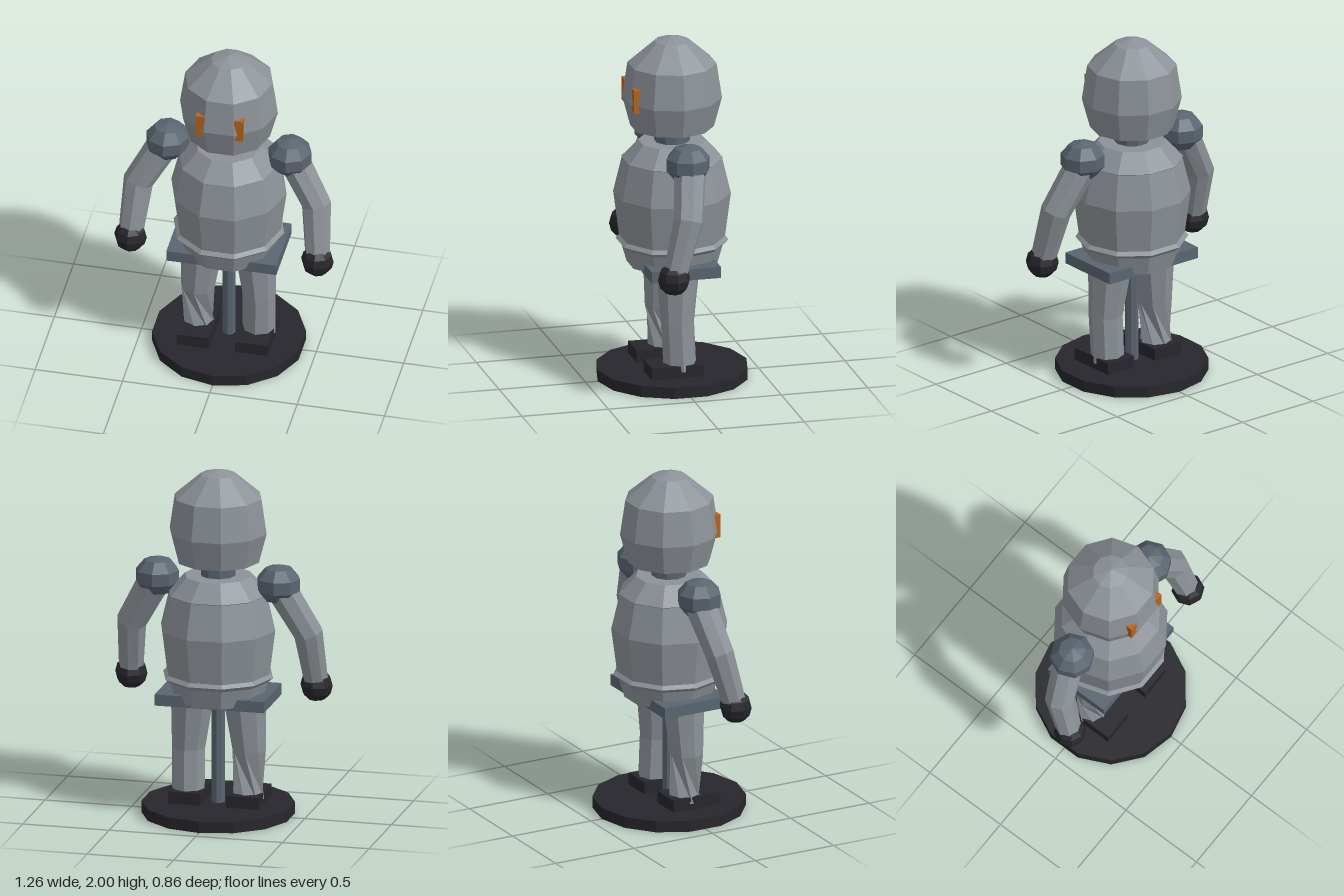
import * as THREE from 'three';

const mat = (color) => new THREE.MeshStandardMaterial({ color, flatShading: true });

export function createModel() {
  const group = new THREE.Group();
  const steel = mat(0x8c9298), slate = mat(0x5a6570), dark = mat(0x26262c), orange = mat(0xb5651d);

  const add = (name, geometry, material, x = 0, y = 0, z = 0) => {
    const mesh = new THREE.Mesh(geometry, material);
    mesh.name = name;
    mesh.position.set(x, y, z);
    group.add(mesh);
    return mesh;
  };

  // ten-sided turned shape with a flat facet facing front
  const turned = (profile) =>
    new THREE.LatheGeometry(profile.map(([r, y]) => new THREE.Vector2(r, y)), 10).rotateY(Math.PI / 10);

  // limb lofted from bottom to top through sections [x, y, z, radius, twist]
  const limb = (sections, sides = 8) => {
    const centers = sections.map(([x, y, z]) => new THREE.Vector3(x, y, z));
    const pos = [], index = [];
    sections.forEach(([, , , r, twist = 0], i) => {
      const before = centers[Math.max(i - 1, 0)];
      const after = centers[Math.min(i + 1, centers.length - 1)];
      const dir = after.clone().sub(before).normalize();
      const q = new THREE.Quaternion().setFromUnitVectors(new THREE.Vector3(0, 1, 0), dir);
      for (let j = 0; j < sides; j++) {
        const a = (j / sides) * Math.PI * 2 + twist;
        const p = new THREE.Vector3(Math.cos(a) * r, 0, Math.sin(a) * r).applyQuaternion(q).add(centers[i]);
        pos.push(p.x, p.y, p.z);
        if (i > 0) {
          const k = (j + 1) % sides, lo = (i - 1) * sides, hi = i * sides;
          index.push(lo + j, hi + j, hi + k, lo + j, hi + k, lo + k);
        }
      }
    });
    const g = new THREE.BufferGeometry();
    g.setAttribute('position', new THREE.Float32BufferAttribute(pos, 3));
    g.setIndex(index);
    g.computeVertexNormals();
    return g;
  };

  // stand
  add('base', new THREE.CylinderGeometry(0.43, 0.43, 0.065, 14), dark, 0, 0.0325, 0);
  add('supportPole', new THREE.CylinderGeometry(0.038, 0.038, 0.62, 8), slate, 0, 0.37, 0);

  // body
  add('hipPlate', new THREE.BoxGeometry(0.63, 0.065, 0.4), slate, 0, 0.6875, 0);
  add('torso', turned([[0, 0.67], [0.255, 0.67], [0.295, 0.81], [0.33, 1.08], [0.28, 1.29], [0.19, 1.385], [0, 1.385]]), steel);
  add('waistRing', new THREE.TorusGeometry(0.295, 0.022, 4, 10).rotateX(Math.PI / 2), steel, 0, 0.805, 0);
  add('collarRing', new THREE.TorusGeometry(0.268, 0.018, 4, 10).rotateX(Math.PI / 2), steel, 0, 1.285, 0);
  add('neck', new THREE.CylinderGeometry(0.1, 0.1, 0.14, 10).rotateY(Math.PI / 10), slate, 0, 1.43, 0);
  add('head', turned([[0, 1.47], [0.235, 1.47], [0.28, 1.64], [0.25, 1.84], [0.1, 1.97], [0, 2]]), steel);

  // mirrored parts
  for (const [side, s] of [['left', 1], ['right', -1]]) {
    add(side + 'Eye', new THREE.BoxGeometry(0.05, 0.135, 0.06), orange, s * 0.11, 1.67, 0.225);

    add(side + 'Shoulder', new THREE.SphereGeometry(0.13, 8, 5), slate, s * 0.35, 1.355, 0).scale.y = 0.88;
    add(side + 'Arm', limb([
      [s * 0.535, 0.76, 0.125, 0.07],
      [s * 0.51, 1.07, 0.04, 0.086],
      [s * 0.36, 1.34, -0.01, 0.092],
    ]), steel);
    add(side + 'Hand', new THREE.SphereGeometry(0.093, 8, 6), dark, s * 0.535, 0.745, 0.13);

    add(side + 'Leg', limb([
      [s * 0.172, 0.1, 0, 0.094, s * 0.8],
      [s * 0.175, 0.37, 0.015, 0.096],
      [s * 0.15, 0.69, 0.005, 0.125],
    ]), steel);
    add(side + 'Foot', new THREE.BoxGeometry(0.185, 0.075, 0.3), dark, s * 0.168, 0.0975, 0.035);
  }
  return group;
}
